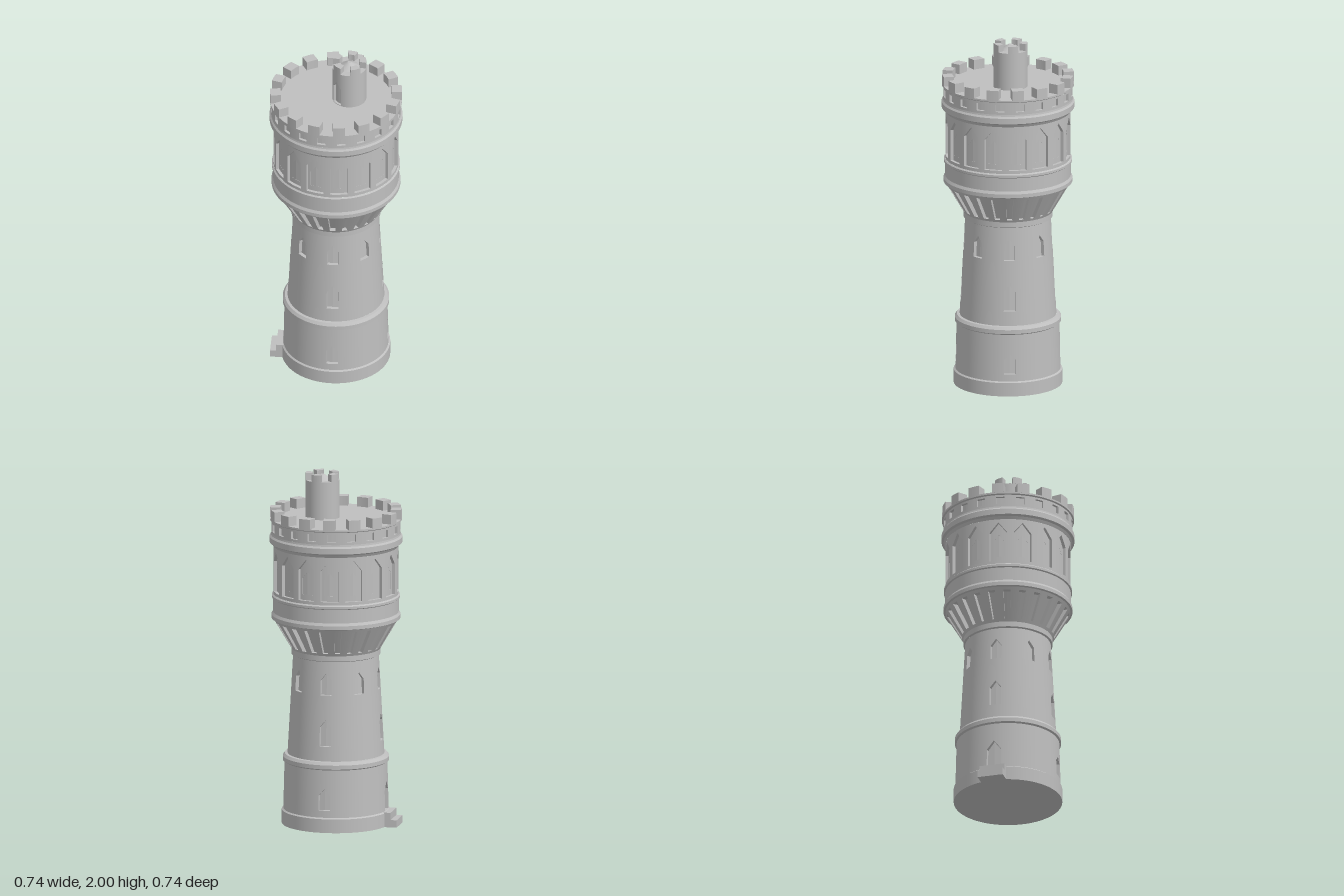
import * as THREE from 'three';
import { mergeGeometries } from 'three/addons/utils/BufferGeometryUtils.js';

const stone = new THREE.MeshStandardMaterial({ color: 0xbfbfbf });
stone.name = 'grey stone';
const TAU = Math.PI * 2;
const rad = THREE.MathUtils.degToRad;
const wrap = (a) => a - TAU * Math.round(a / TAU);

function part(name, geometry) {
  const mesh = new THREE.Mesh(geometry, stone);
  mesh.name = name;
  return mesh;
}

// Turned moulding: each profile segment keeps its own normals, so edges stay sharp
function moulding(name, profile, segments = 96) {
  const bands = [];
  for (let i = 0; i + 1 < profile.length; i++) {
    const pts = [profile[i], profile[i + 1]].map(([r, y]) => new THREE.Vector2(r, y));
    bands.push(new THREE.LatheGeometry(pts, segments));
  }
  return part(name, mergeGeometries(bands));
}

// Evenly spaced copies of one opening around the wall
function around(count, start, half, sill, shoulder, peak) {
  return Array.from({ length: count }, (_, i) => ({
    az: rad(start + (i * 360) / count), half: rad(half), sill, shoulder, peak,
  }));
}

// Round wall from (r0, y0) up to (r1, y1) with recessed pointed or square openings
function wall(name, r0, y0, r1, y1, openings, depth) {
  const slope = (r1 - r0) / (y1 - y0);
  const P = (a, y, d = 0) => {
    const r = r0 + (y - y0) * slope - d;
    return new THREE.Vector3(r * Math.sin(a), y, r * Math.cos(a));
  };
  const N = (a) => new THREE.Vector3(Math.sin(a), -slope, Math.cos(a)).normalize();
  const pos = [], nor = [];
  const quad = (p, n) => {
    if (!n) {
      const f = p[2].clone().sub(p[0]).cross(p[3].clone().sub(p[1])).normalize();
      n = [f, f, f, f];
    }
    for (const i of [0, 1, 2, 0, 2, 3]) {
      pos.push(...p[i].toArray());
      nor.push(...n[i].toArray());
    }
  };

  // Column angles: a regular division, replaced by edges and centre at each opening
  let angles = [];
  for (let i = 0; i < 96; i++) {
    const a = (i / 96) * TAU;
    if (!openings.some((o) => Math.abs(wrap(a - o.az)) < o.half + 0.005)) angles.push(a);
  }
  for (const o of openings) {
    for (const s of [-1, 0, 1]) angles.push((o.az + s * o.half + TAU) % TAU);
  }
  angles = angles.sort((a, b) => a - b).filter((a, i, all) => i === 0 || a - all[i - 1] > 1e-5);

  angles.forEach((a, i) => {
    const b = i + 1 < angles.length ? angles[i + 1] : angles[0] + TAU;
    const mid = (a + b) / 2;
    const face = (low, high) => quad(
      [P(a, low[0]), P(b, low[1]), P(b, high[1]), P(a, high[0])], [N(a), N(b), N(b), N(a)]);
    let low = [y0, y0];
    const here = openings.filter((o) => Math.abs(wrap(mid - o.az)) < o.half)
      .sort((p, q) => p.sill - q.sill);
    for (const o of here) {
      const left = wrap(mid - o.az) < 0;
      const s = o.sill;
      const [ta, tb] = left ? [o.shoulder, o.peak] : [o.peak, o.shoulder];
      if (s > low[0]) face(low, [s, s]);
      // back, sill, head and jamb of the recess
      quad([P(a, s, depth), P(b, s, depth), P(b, tb, depth), P(a, ta, depth)]);
      quad([P(a, s), P(b, s), P(b, s, depth), P(a, s, depth)]);
      quad([P(a, ta, depth), P(b, tb, depth), P(b, tb), P(a, ta)]);
      if (left) quad([P(a, s), P(a, s, depth), P(a, ta, depth), P(a, ta)]);
      else quad([P(b, s, depth), P(b, s), P(b, tb), P(b, tb, depth)]);
      low = [ta, tb];
    }
    face(low, [y1, y1]);
  });
  const g = new THREE.BufferGeometry();
  g.setAttribute('position', new THREE.Float32BufferAttribute(pos, 3));
  g.setAttribute('normal', new THREE.Float32BufferAttribute(nor, 3));
  return part(name, g);
}

// Ring of battlement blocks standing at height y
function battlement(name, count, start, rIn, rOut, halfOut, halfIn, y, height) {
  const shape = new THREE.Shape();
  shape.absarc(0, 0, rOut, -rad(halfOut), rad(halfOut), false);
  shape.absarc(0, 0, rIn, rad(halfIn), -rad(halfIn), true);
  const block = new THREE.ExtrudeGeometry(shape, { depth: height, bevelEnabled: false, curveSegments: 6 });
  block.rotateX(-Math.PI / 2);
  const ring = new THREE.Group();
  ring.name = name;
  for (let i = 0; i < count; i++) {
    const mesh = part('merlon', block);
    mesh.position.y = y;
    mesh.rotation.y = rad(start + (i * 360) / count - 90);
    ring.add(mesh);
  }
  return ring;
}

export function createModel() {
  const tower = new THREE.Group();
  tower.name = 'waterTower';

  // Base storey with a door and three windows on the diagonals
  const lowOpenings = around(4, 45, 6.4, 0.125, 0.21, 0.245);
  Object.assign(lowOpenings[3], { half: rad(8), sill: 0.085, shoulder: 0.2, peak: 0.25 });
  tower.add(
    moulding('plinth', [[0, 0], [0.304, 0], [0.304, 0.078], [0.295, 0.085]]),
    wall('baseWall', 0.295, 0.085, 0.288, 0.355, lowOpenings, 0.02),
    moulding('baseRing', [[0.288, 0.355], [0.298, 0.362], [0.298, 0.385], [0.286, 0.4], [0.271, 0.402]]),
  );

  // Tapering shaft with two rows of windows
  tower.add(
    wall('shaftWall', 0.271, 0.402, 0.24, 0.965, [
      ...around(4, 45, 7.2, 0.485, 0.595, 0.635),
      ...around(8, 0, 7.2, 0.775, 0.86, 0.9),
    ], 0.02),
    moulding('shaftCollar', [[0.24, 0.965], [0.25, 0.97], [0.25, 1.0]]),
  );

  // Flared neck with slots
  tower.add(
    wall('flaredNeck', 0.25, 1.0, 0.35, 1.17, around(24, 0, 3.4, 1.015, 1.155, 1.155), 0.028),
    moulding('neckRing', [[0.35, 1.17], [0.361, 1.174], [0.361, 1.195], [0.352, 1.21],
      [0.352, 1.287], [0.359, 1.292], [0.359, 1.305], [0.351, 1.312]]),
  );

  // Arcade: pointed panels, each holding a smaller window
  tower.add(
    wall('arcadeWall', 0.351, 1.312, 0.351, 1.585, around(16, 7, 8.2, 1.33, 1.505, 1.565), 0.018),
    wall('arcadeWindows', 0.3335, 1.328, 0.3335, 1.57, around(16, 7, 5.4, 1.362, 1.455, 1.495), 0.018),
    moulding('cornice', [[0.351, 1.585], [0.36, 1.6], [0.372, 1.608], [0.372, 1.64], [0.364, 1.65], [0.362, 1.66]]),
  );

  // Parapet, roof deck and battlements
  tower.add(
    wall('parapetWall', 0.362, 1.66, 0.362, 1.73, around(20, 0, 3.9, 1.675, 1.718, 1.718), 0.015),
    moulding('roofDeck', [[0.362, 1.73], [0.37, 1.735], [0.37, 1.745], [0, 1.745]]),
    battlement('battlements', 16, 7, 0.312, 0.37, 5.2, 6.2, 1.745, 0.055),
  );

  // Roof turret with a doorway, crown and small cone
  const turret = new THREE.Group();
  turret.name = 'roofTurret';
  turret.position.set(0.045, 0, -0.06);
  turret.add(
    wall('turretWall', 0.095, 1.745, 0.095, 1.96, around(1, 0, 20, 1.748, 1.855, 1.895), 0.015),
    moulding('turretFloor', [[0.095, 1.96], [0.056, 1.96]], 64),
    moulding('turretCone', [[0.056, 1.96], [0.01, 1.99], [0, 1.99]], 48),
    battlement('turretCrown', 5, 0, 0.057, 0.095, 18, 18, 1.96, 0.04),
  );
  tower.add(turret);

  // Door steps
  const steps = new THREE.Group();
  steps.name = 'doorSteps';
  steps.rotation.y = rad(-45);
  for (const [reach, height] of [[0.365, 0.042], [0.33, 0.083]]) {
    const step = part('step', new THREE.BoxGeometry(0.146, height, reach - 0.2));
    step.position.set(0, height / 2, (reach + 0.2) / 2);
    steps.add(step);
  }
  tower.add(steps);
  return tower;
}
